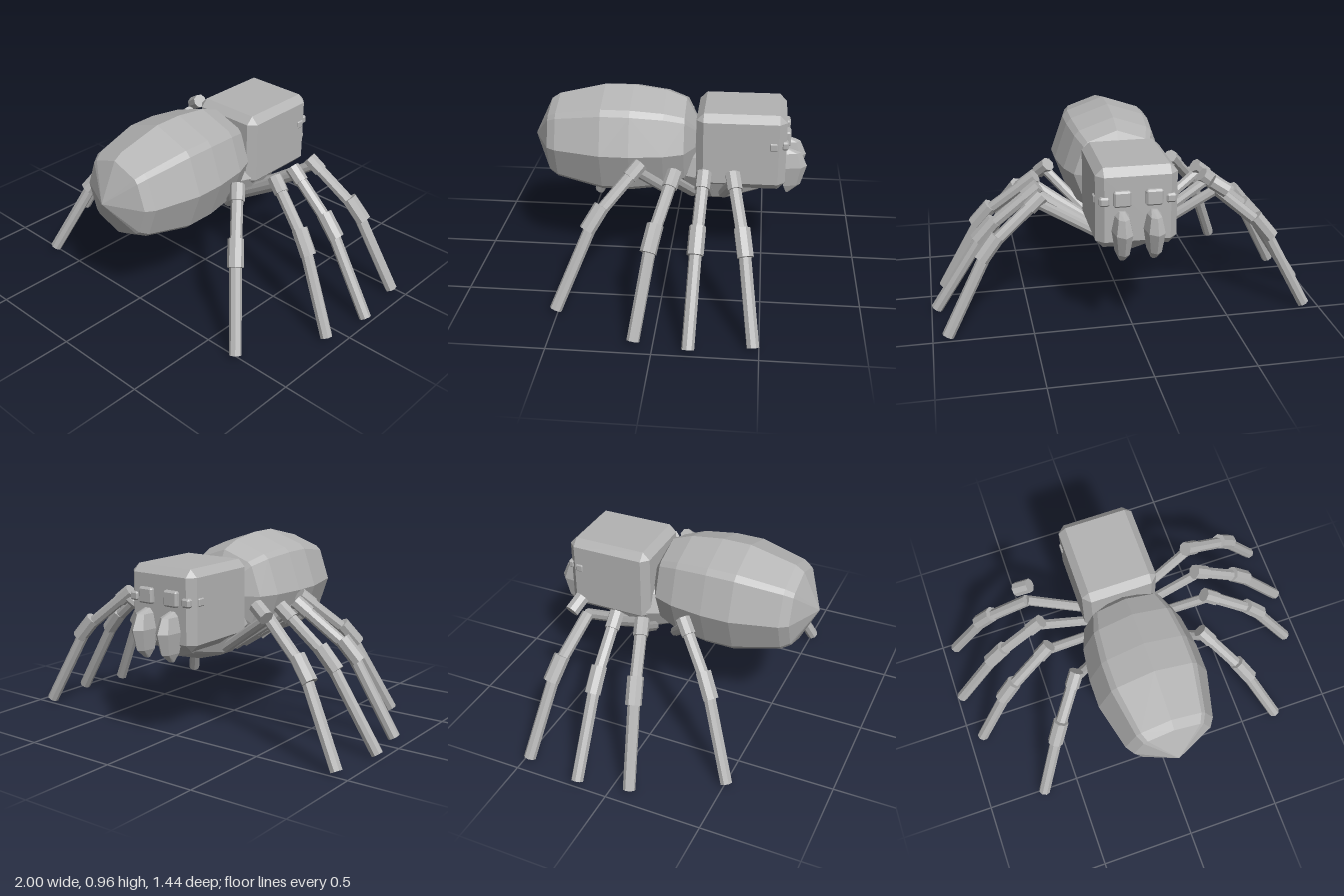
import * as THREE from 'three';
import { ConvexGeometry } from 'three/addons/geometries/ConvexGeometry.js';

const V = (x, y, z) => new THREE.Vector3(x, y, z);

export function createModel() {
  const spider = new THREE.Group();
  spider.name = 'spider';
  const grey = new THREE.MeshStandardMaterial({ color: 0xb3b3b3, flatShading: true });
  grey.name = 'grey';

  function add(parent, name, geometry) {
    const mesh = new THREE.Mesh(geometry, grey);
    mesh.name = name;
    parent.add(mesh);
    return mesh;
  }

  // Box with chamfered edges
  function chamferBox(w, h, d, b) {
    const pts = [];
    for (const i of [-0.5, 0.5]) for (const j of [-0.5, 0.5]) for (const k of [-0.5, 0.5]) {
      const x = i * w, y = j * h, z = k * d;
      const bx = Math.sign(i) * b, by = Math.sign(j) * b, bz = Math.sign(k) * b;
      pts.push(V(x, y - by, z - bz), V(x - bx, y, z - bz), V(x - bx, y - by, z));
    }
    return new ConvexGeometry(pts);
  }

  // Faceted body from squarish rings [z, radius] plus the two end tips
  const quarter = [[0, 1], [0.68, 0.76], [0.77, 0.66]];
  function facetedBody(rings, tips, cy, sx) {
    const pts = tips.map((z) => V(0, cy, z));
    for (const [z, r] of rings) {
      for (let q = 0; q < 4; q++) {
        for (const [a, b] of quarter) {
          const [x, y] = [[a, b], [b, -a], [-a, -b], [-b, a]][q];
          pts.push(V(x * r * sx, cy + y * r, z));
        }
      }
    }
    return new ConvexGeometry(pts);
  }

  // Body
  add(spider, 'abdomen', facetedBody(
    [[0.625, 0.2], [0.58, 0.23], [0.34, 0.288], [0.19, 0.288], [0.02, 0.265], [-0.085, 0.225], [-0.14, 0.12]],
    [0.72, -0.15], 0.675, 1.01));
  add(spider, 'thorax', facetedBody(
    [[-0.04, 0.11], [-0.2, 0.165], [-0.3, 0.165], [-0.47, 0.115], [-0.53, 0.05]],
    [0, -0.54], 0.525, 1.2));
  add(spider, 'head', chamferBox(0.4, 0.405, 0.46, 0.038)).position.set(0, 0.6775, -0.375);

  // Eight-sided rod between two points
  function rod(parent, name, a, b, r) {
    const dir = b.clone().sub(a);
    const mesh = add(parent, name, new THREE.CylinderGeometry(r, r, dir.length(), 8));
    mesh.position.copy(a).add(b).multiplyScalar(0.5);
    mesh.quaternion.setFromUnitVectors(V(0, 1, 0), dir.normalize());
  }
  // Short collar centred on a point
  function collar(parent, name, p, dir, length, r) {
    const d = dir.clone().normalize().multiplyScalar(length / 2);
    rod(parent, name, p.clone().sub(d), p.clone().add(d), r);
  }

  // Legs: hip, knee, ankle, foot for one side
  const legs = [
    ['frontLeg', [0.17, 0.45, 0], [0.36, 0.64, 0.145], [0.52, 0.445, 0.33], [0.69, 0.015, 0.51]],
    ['middleFrontLeg', [0.16, 0.44, -0.13], [0.46, 0.645, -0.05], [0.7, 0.445, 0.025], [0.925, 0.015, 0.093]],
    ['middleBackLeg', [0.16, 0.44, -0.21], [0.46, 0.645, -0.2], [0.7, 0.445, -0.187], [0.972, 0.015, -0.17]],
    ['backLeg', [0.16, 0.44, -0.29], [0.46, 0.645, -0.35], [0.7, 0.445, -0.41], [0.925, 0.015, -0.472]],
  ];
  for (const s of [1, -1]) {
    const side = s > 0 ? 'left' : 'right';
    for (const [name, ...path] of legs) {
      const leg = new THREE.Group();
      leg.name = side + name[0].toUpperCase() + name.slice(1);
      spider.add(leg);
      const [hip, knee, ankle, foot] = path.map(([x, y, z]) => V(s * x, y, z));
      rod(leg, 'upperLeg', hip, knee, 0.027);
      rod(leg, 'lowerLeg', knee, ankle, 0.031);
      rod(leg, 'foot', ankle, foot, 0.031);
      // The knee collar of the right back leg sits loose above the leg
      if (s < 0 && name === 'backLeg') {
        collar(leg, 'looseKnee', V(-0.46, 0.685, -0.41), V(0.8, 0.5, 0.25), 0.09, 0.038);
      } else {
        collar(leg, 'knee', knee, ankle.clone().sub(knee), 0.09, 0.038);
      }
      const bend = foot.clone().sub(ankle).normalize().add(ankle.clone().sub(knee).normalize());
      collar(leg, 'ankle', ankle, bend, 0.14, 0.041);
    }

    // Eyes
    const eyes = [
      ['largeEye', 0.078, 0.735, -0.61, 0.085, 0.08, 0.035],
      ['smallEye', 0.162, 0.722, -0.598, 0.05, 0.045, 0.035],
      ['sideEye', 0.198, 0.722, -0.54, 0.02, 0.04, 0.04],
    ];
    for (const [name, x, y, z, w, h, d] of eyes) {
      add(spider, side + name[0].toUpperCase() + name.slice(1),
        chamferBox(w, h, d, Math.min(w, h, d) * 0.25)).position.set(s * x, y, z);
    }

    // Fangs: rows of [y, back z, front z, half width]
    const fang = [];
    for (const [y, zb, zf, w] of [[0.425, -0.615, -0.63, 0.015], [0.47, -0.6, -0.688, 0.035],
      [0.575, -0.59, -0.718, 0.052], [0.65, -0.6, -0.685, 0.035], [0.672, -0.605, -0.62, 0.015]]) {
      const zm = zb + (zf - zb) * 0.75;
      for (const m of [-1, 1]) {
        fang.push(V(s * 0.078 + m * w, y, zb), V(s * 0.078 + m * w * 0.75, y, zm));
      }
      fang.push(V(s * 0.078, y, zf));
    }
    add(spider, side + 'Fang', new ConvexGeometry(fang));
  }
  return spider;
}
